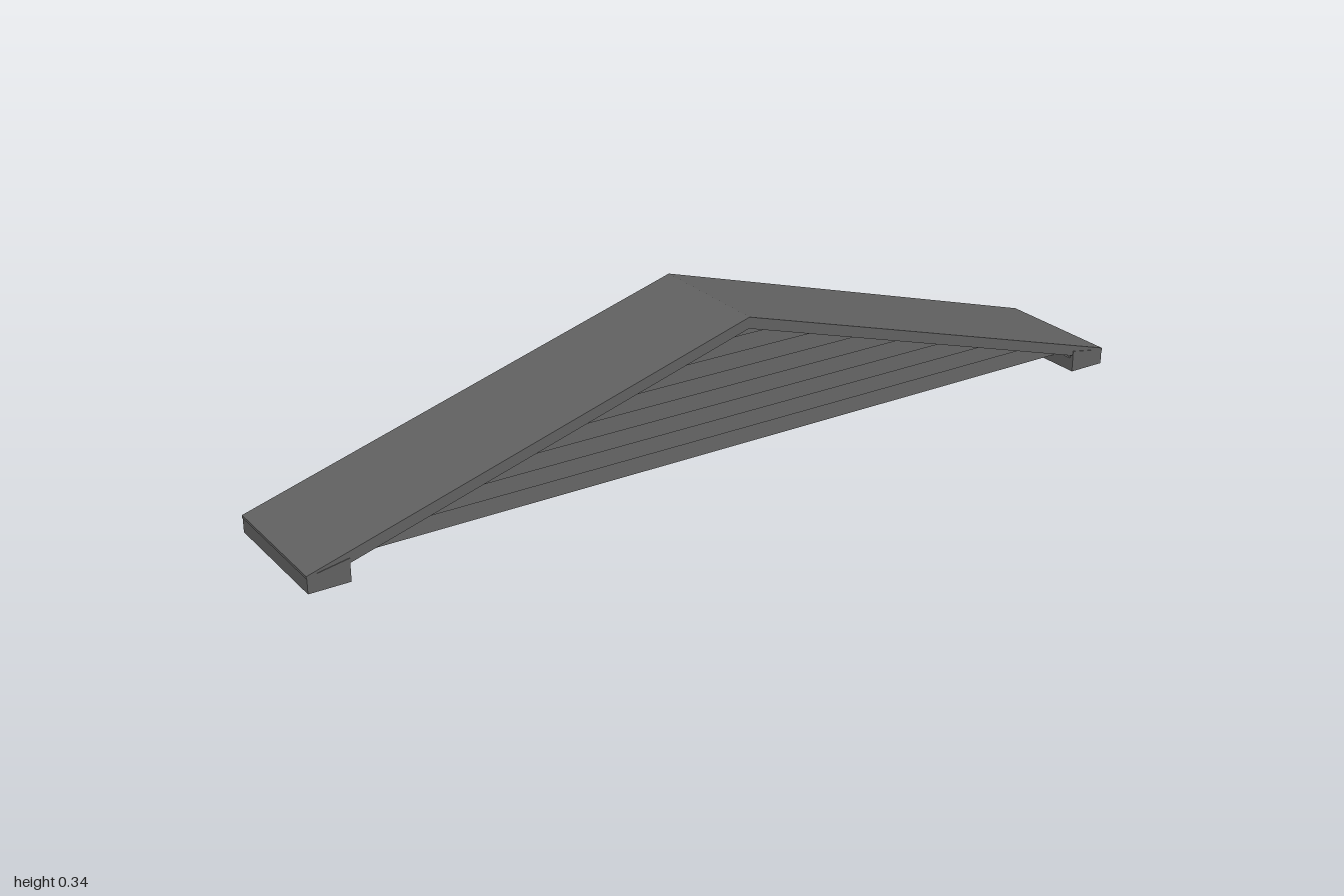
import * as THREE from 'three';

const RIDGE = 0.336, EAVE = 0.038, SLOPE = RIDGE - EAVE;
const roofY = (x) => RIDGE - SLOPE * Math.abs(x);

export function createModel() {
  const model = new THREE.Group();
  const grey = new THREE.MeshStandardMaterial({ color: 0x606060 });
  grey.name = 'charcoal grey';

  const add = (name, geometry) => {
    const mesh = new THREE.Mesh(geometry, grey);
    mesh.name = name;
    model.add(mesh);
    return mesh;
  };

  // Flat polygon in the front plane, given depth from z0 to z1
  const slab = (points, z0, z1) => {
    const shape = new THREE.Shape(points.map(([x, y]) => new THREE.Vector2(x, y)));
    const g = new THREE.ExtrudeGeometry(shape, { depth: z1 - z0, bevelEnabled: false });
    return g.translate(0, 0, z0);
  };

  // Inverted V band lying between two depths under the roof line
  const chevron = (top, bottom, half, z0, z1) => slab([
    [-half, roofY(half) - bottom], [0, RIDGE - bottom], [half, roofY(half) - bottom],
    [half, roofY(half) - top], [0, RIDGE - top], [-half, roofY(half) - top],
  ], z0, z1);

  const box = (x0, x1, y0, y1, z0, z1) =>
    new THREE.BoxGeometry(x1 - x0, y1 - y0, z1 - z0)
      .translate((x0 + x1) / 2, (y0 + y1) / 2, (z0 + z1) / 2);

  // Thin roof sheet with the thicker overhang at the front
  add('roofSheet', chevron(0, 0.006, 1, -0.152, 0.152));
  add('frontOverhang', chevron(0.006, 0.026, 0.99, -0.035, 0.15));
  add('rakeTrim', chevron(0.026, 0.038, 0.91, 0.08, 0.1));

  // Gable wall behind the siding
  const wallTop = RIDGE - 0.026, base = 0.02;
  const halfWidth = (y) => Math.min(0.91, (wallTop - y) / SLOPE);
  const kneeY = wallTop - SLOPE * 0.91;
  add('gableWall', slab([
    [-0.91, base], [0.91, base], [0.91, kneeY], [0, wallTop], [-0.91, kneeY],
  ], 0.073, 0.079));

  // Overlapping clapboards, each leaning out at its lower edge
  const rows = 8, step = 0.0355;
  for (let i = 0; i < rows; i++) {
    const y0 = base + i * step, y1 = Math.min(y0 + step, wallTop - 0.002);
    const a = halfWidth(y0), b = halfWidth(y1);
    const g = slab([[-a, y0], [a, y0], [b, y1], [-b, y1]], 0.079, 0.082);
    const p = g.attributes.position;
    for (let k = 0; k < p.count; k++) {
      if (p.getZ(k) > 0.081 && p.getY(k) < y0 + 0.001) p.setZ(k, 0.088);
    }
    g.computeVertexNormals();
    add('clapboard', g);
  }

  // Hollow eave boxes, closed at the front and open at the back
  for (const s of [-1, 1]) {
    const side = (x0, x1, y0, y1, z0, z1) =>
      box(Math.min(s * x0, s * x1), Math.max(s * x0, s * x1), y0, y1, z0, z1);
    add('eaveFascia', side(0.99, 0.999, 0, 0.033, -0.152, 0.151));
    add('eaveSoffit', side(0.915, 0.99, 0, 0.006, -0.152, 0.151));
    add('eaveInnerLip', side(0.91, 0.916, 0, 0.03, -0.152, 0.151));
    const cap = [[0.91, 0], [0.999, 0], [0.999, 0.034], [0.91, 0.05]]
      .map(([x, y]) => [s * x, y]);
    add('eaveEndCap', slab(cap, 0.142, 0.1515));
  }
  return model;
}
